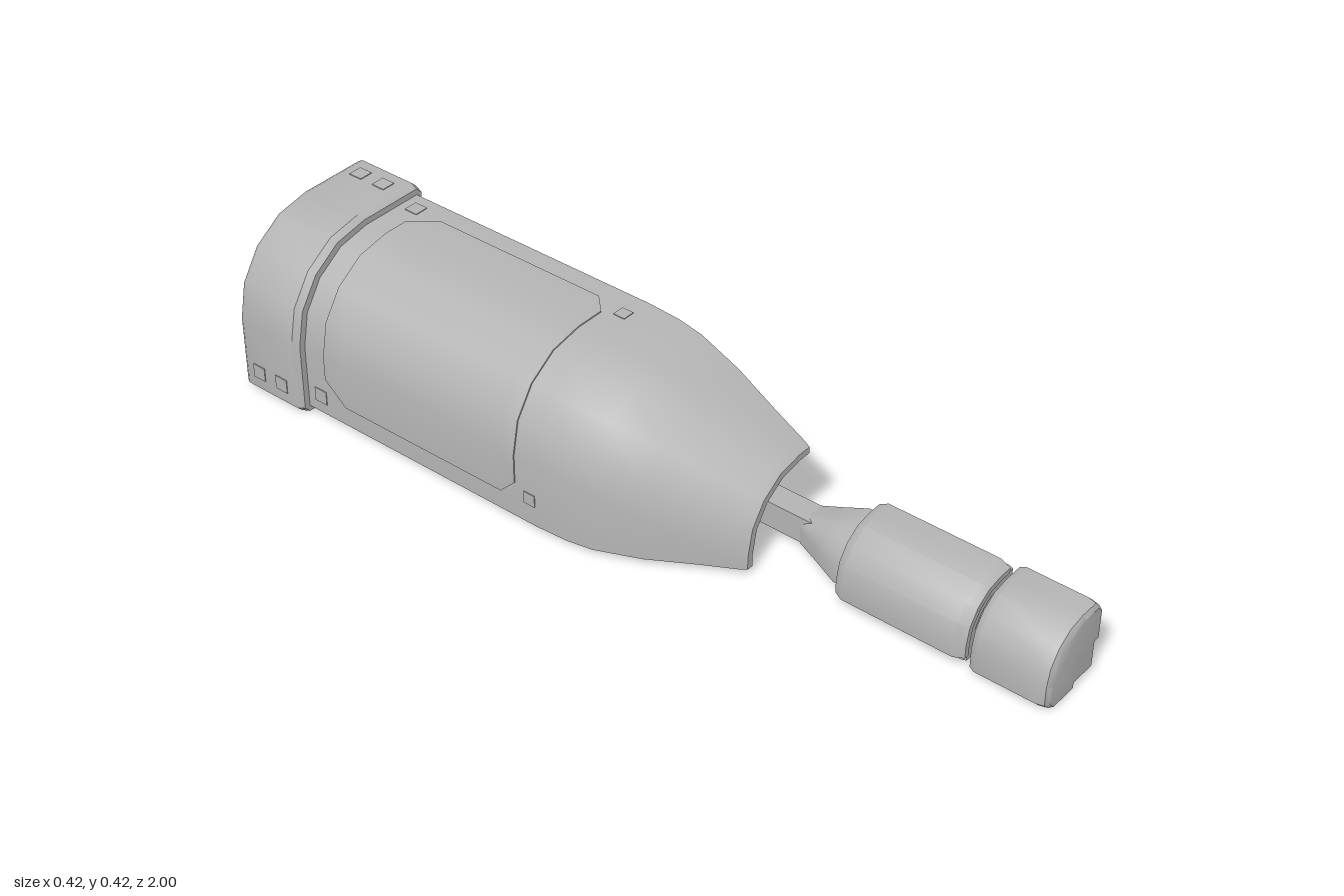
import * as THREE from 'three';
import { toCreasedNormals } from 'three/addons/utils/BufferGeometryUtils.js';

// Every curved part is a quarter turn about this corner line, running along z.
const CX = 0.195, CY = 0.015;

// Quarter profile from the top end round to the side end; k is the straight share.
function quarter(r, k, end = 0, steps = 4) {
  const pts = [[-end, r]];
  for (let i = 0; i <= steps; i++) {
    const a = (i / steps) * Math.PI / 2;
    pts.push([-r * (k + (1 - k) * Math.sin(a)), r * (k + (1 - k) * Math.cos(a))]);
  }
  pts.push([-r, end]);
  return pts;
}

// Closed ring between an outer and an inner quarter profile.
const band = (ro, ri, k, end = 0) => [...quarter(ro, k, end), ...quarter(ri, k, end).reverse()];

// Skin a solid through cross-sections [z, ring], rings counter-clockwise from +z.
function loft(sections) {
  const n = sections[0][1].length, pos = [], idx = [];
  for (const [z, ring] of sections) for (const [x, y] of ring) pos.push(CX + x, CY + y, z);
  for (let i = 0; i < sections.length - 1; i++) {
    for (let j = 0; j < n; j++) {
      const a = i * n + j, b = i * n + (j + 1) % n;
      idx.push(a, b, b + n, a, b + n, a + n);
    }
  }
  const cap = (s, flip) => {
    const ring = sections[s][1].map(([x, y]) => new THREE.Vector2(x, y));
    for (const [a, b, c] of THREE.ShapeUtils.triangulateShape(ring, [])) {
      const o = s * n;
      idx.push(o + a, o + (flip ? c : b), o + (flip ? b : c));
    }
  };
  cap(0, true);
  cap(sections.length - 1, false);
  const g = new THREE.BufferGeometry();
  g.setAttribute('position', new THREE.Float32BufferAttribute(pos, 3));
  g.setIndex(idx);
  return toCreasedNormals(g, 0.6);
}

export function createModel() {
  const model = new THREE.Group();
  model.name = 'model';
  const grey = new THREE.MeshStandardMaterial({ color: 0xb4b4b4 });
  grey.name = 'plainGrey';
  const add = (name, geometry) => {
    const mesh = new THREE.Mesh(geometry, grey);
    mesh.name = name;
    model.add(mesh);
    return mesh;
  };
  const box = (name, x, y, z, w, h, d) =>
    add(name, new THREE.BoxGeometry(w, h, d)).position.set(x, y, z);

  // Full-length square rod
  box('rod', 0.165, 0.0475, 0, 0.06, 0.065, 2);

  // Curved shell, tapering to a narrow mouth
  const taper = [
    [-0.9, 0.375, 0.43], [-0.14, 0.375, 0.43], [-0.06, 0.37, 0.42], [0, 0.358, 0.4],
    [0.1, 0.315, 0.33], [0.2, 0.255, 0.24], [0.275, 0.213, 0.18], [0.29, 0.202, 0.17],
  ];
  add('shell', loft(taper.map(([z, r, k], i) => [z, band(r, i === 7 ? 0.186 : r - 0.022, k)])));

  // Slightly raised panel over the shell, with cut corners
  add('shellPanel', loft([[-0.76, 0.1], [-0.7, 0.05], [-0.24, 0.05], [-0.2, 0.09]]
    .map(([z, end]) => [z, band(0.378, 0.37, 0.43, end)])));

  // Thick collar at the rear with lips past both ends
  const collarRing = (r, ri) => [
    [0.015, r - 0.015], ...quarter(r, 0.43), [-r + 0.015, -0.015],
    [-ri, -0.015], ...quarter(ri, 0.43).reverse(), [0.015, ri],
  ];
  add('rearCollar', loft([
    [-1, collarRing(0.393, 0.328)], [-0.988, collarRing(0.4, 0.325)],
    [-0.835, collarRing(0.4, 0.325)], [-0.82, collarRing(0.39, 0.328)],
  ]));

  // Handle core, widening from the rod
  const wedge = (r, k) => [[0, 0], ...quarter(r, k)];
  add('handleCore', loft([
    [0.32, wedge(0.062, 0.6)], [0.38, wedge(0.088, 0.4)],
    [0.45, wedge(0.12, 0.3)], [0.84, wedge(0.12, 0.3)],
  ]));

  // Two-layer grip around the core
  add('gripBase', loft([[0.49, 0.146], [0.5, 0.15], [0.79, 0.15], [0.8, 0.146]]
    .map(([z, r]) => [z, band(r, 0.128, 0.3)])));
  add('gripCover', loft([[0.483, 0.158], [0.505, 0.17], [0.78, 0.17], [0.803, 0.158]]
    .map(([z, r]) => [z, band(r, 0.145, 0.3, 0.015)])));

  // Solid cap at the handle's end
  const capRing = r => [
    [0.015, r - 0.015], ...quarter(r, 0.3), [-r + 0.015, -0.015],
    [-0.065, -0.015], [-0.065, 0], [0, 0], [0, 0.065], [0.015, 0.065],
  ];
  add('handleCap', loft([[0.815, 0.157], [0.83, 0.165], [0.975, 0.165], [0.993, 0.16], [1, 0.15]]
    .map(([z, r]) => [z, capRing(r)])));

  // Small thin plates, repeated on the top and side straights
  const plates = [
    [0.15, 0.415, -0.95, 0.035], [0.15, 0.415, -0.88, 0.035],
    [0.15, 0.39, -0.78, 0.035], [0.13, 0.39, -0.16, 0.03],
  ];
  for (const [x, y, z, s] of plates) {
    box('topPlate', x, y, z, s, 0.004, s);
    box('sidePlate', 0.21 - y, 0.21 - x, z, 0.004, s, s);
  }
  return model;
}
